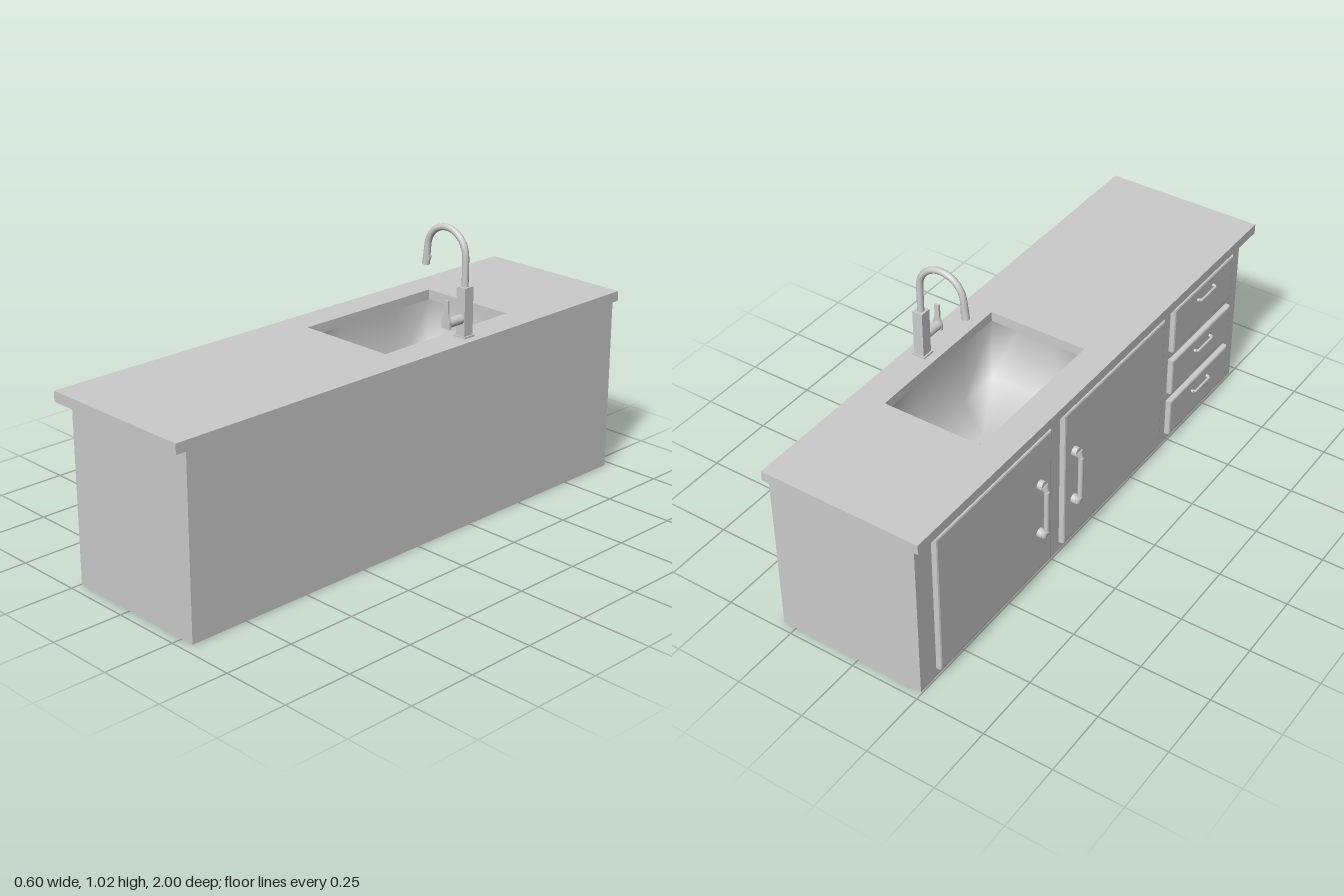
import * as THREE from 'three';

const mat = new THREE.MeshStandardMaterial({ color: 0xcccccc });
const thinMat = new THREE.MeshStandardMaterial({ color: 0xcccccc, side: THREE.DoubleSide });
const V = (x, y, z) => new THREE.Vector3(x, y, z);

function add(parent, name, geometry, material = mat) {
  const mesh = new THREE.Mesh(geometry, material);
  mesh.name = name;
  parent.add(mesh);
  return mesh;
}

function box(parent, name, x0, x1, y0, y1, z0, z1) {
  const mesh = add(parent, name, new THREE.BoxGeometry(x1 - x0, y1 - y0, z1 - z0));
  mesh.position.set((x0 + x1) / 2, (y0 + y1) / 2, (z0 + z1) / 2);
  return mesh;
}

// Cylinder (or cone) running from point a to point b
function rod(parent, name, a, b, ra, rb = ra, sides = 20) {
  const mesh = add(parent, name, new THREE.CylinderGeometry(rb, ra, a.distanceTo(b), sides));
  mesh.position.copy(a).add(b).multiplyScalar(0.5);
  mesh.quaternion.setFromUnitVectors(V(0, 1, 0), b.clone().sub(a).normalize());
  return mesh;
}

// Upright slab with a rectangular hole, seen in plan; outline and hole run anticlockwise
function ringSlab(parent, name, [x0, x1, z0, z1], [a0, a1, b0, b1], y0, y1) {
  const rect = (s, l, r, n, f) =>
    s.moveTo(l, -f).lineTo(r, -f).lineTo(r, -n).lineTo(l, -n).closePath();
  const shape = rect(new THREE.Shape(), x0, x1, z0, z1);
  shape.holes.push(rect(new THREE.Path(), a0, a1, b0, b1));
  const geometry = new THREE.ExtrudeGeometry(shape, { depth: y1 - y0, bevelEnabled: false });
  geometry.rotateX(-Math.PI / 2).translate(0, y0, 0);
  return add(parent, name, geometry, thinMat);
}

// Panel on the -x face with a narrow bevel round its outer face
function frontPanel(parent, name, y0, y1, z0, z1) {
  const b = 0.007;
  const shape = new THREE.Shape();
  shape.moveTo(z0 + b, y0 + b).lineTo(z1 - b, y0 + b).lineTo(z1 - b, y1 - b).lineTo(z0 + b, y1 - b).closePath();
  const geometry = new THREE.ExtrudeGeometry(shape, {
    depth: 0.012, bevelThickness: b, bevelSize: b, bevelSegments: 2,
  });
  geometry.rotateY(-Math.PI / 2).translate(-0.246, 0, 0);
  return add(parent, name, geometry);
}

// Open basin: smooth loft from rim to floor to drain
function basinGeometry(x0, x1, z0, z1, top, floor, drain) {
  const n = 16, cx = (x0 + x1) / 2, cz = (z0 + z1) / 2;
  const positions = [], index = [];
  for (let ring = 0; ring < 3; ring++) {
    for (let i = 0; i < n; i++) {
      const c = Math.cos(i * 2 * Math.PI / n), s = Math.sin(i * 2 * Math.PI / n);
      const m = Math.max(Math.abs(c), Math.abs(s));
      if (ring < 2) positions.push(cx + c / m * (x1 - x0) / 2, ring ? floor : top, cz + s / m * (z1 - z0) / 2);
      else positions.push(cx + c * drain, floor, cz + s * drain);
    }
  }
  for (let r = 0; r < 2; r++) {
    for (let i = 0; i < n; i++) {
      const a = r * n + i, b = r * n + (i + 1) % n;
      index.push(a, b, a + n, b, b + n, a + n);
    }
  }
  const geometry = new THREE.BufferGeometry();
  geometry.setAttribute('position', new THREE.Float32BufferAttribute(positions, 3));
  geometry.setIndex(index);
  geometry.computeVertexNormals();
  return geometry;
}

// Bow handle along local y, standing out towards -x: feet tapering into a straight grip
function handle(parent, name, half, depth, footR, gripR) {
  const g = new THREE.Group();
  g.name = name;
  parent.add(g);
  const gripX = -depth + gripR, gripY = half - footR * 1.1;
  rod(g, 'grip', V(gripX, -gripY, 0), V(gripX, gripY, 0), gripR);
  for (const side of [-1, 1]) {
    rod(g, 'handleFoot', V(0.004, side * half, 0), V(-depth * 0.5, side * half, 0), footR);
    rod(g, 'handleBend', V(-depth * 0.4, side * half, 0), V(gripX, side * gripY, 0), footR, gripR);
  }
  return g;
}

function makeFaucet() {
  const g = new THREE.Group();
  g.name = 'faucet';
  const x = 0.246, z = -0.261;
  box(g, 'faucetBase', x - 0.025, x + 0.025, 0.656, 0.663, z - 0.024, z + 0.024);
  box(g, 'faucetBody', x - 0.019, x + 0.019, 0.66, 0.828, z - 0.02, z + 0.02);

  // Gooseneck spout
  const points = [V(x, 0.82, z), V(x, 0.88, z)];
  for (let i = 0; i <= 12; i++) {
    const a = i / 12 * Math.PI;
    points.push(V(0.161 + 0.085 * Math.cos(a), 0.925 + 0.085 * Math.sin(a), z));
  }
  const neck = new THREE.CatmullRomCurve3(points);
  add(g, 'spoutNeck', new THREE.TubeGeometry(neck, 64, 0.0115, 16));
  rod(g, 'sprayHead', V(0.0765, 0.933, z), V(0.069, 0.866, z), 0.0115, 0.013);
  box(g, 'sprayButton', 0.078, 0.088, 0.882, 0.898, z - 0.005, z + 0.005);

  // Side valve with tapered upright lever
  rod(g, 'valve', V(x, 0.72, z + 0.018), V(x, 0.72, -0.178), 0.017);
  const lever = new THREE.Shape();
  lever.moveTo(-0.018, 0.703).lineTo(0.018, 0.703).lineTo(0.018, 0.728).lineTo(0.009, 0.755)
    .lineTo(0.009, 0.8).lineTo(-0.009, 0.8).lineTo(-0.009, 0.755).lineTo(-0.018, 0.728).closePath();
  const leverGeometry = new THREE.ExtrudeGeometry(lever, { depth: 0.008, bevelEnabled: false });
  add(g, 'lever', leverGeometry.translate(x, 0, -0.179));
  return g;
}

export function createModel() {
  const model = new THREE.Group();
  model.name = 'sinkCabinet';

  // Hollow carcass and worktop with sink cut-out
  const hole = [-0.175, 0.19, -0.535, 0.048];
  ringSlab(model, 'cabinet', [-0.245, 0.3, -0.971, 0.963], [-0.21, 0.265, -0.936, 0.928], 0, 0.622);
  ringSlab(model, 'worktop', [-0.283, 0.3, -1, 1], hole, 0.621, 0.657);

  // Sink basin and drain
  add(model, 'basin', basinGeometry(...hole, 0.622, 0.385, 0.028), thinMat);
  const drain = add(model, 'drain', new THREE.CylinderGeometry(0.03, 0.03, 0.01, 24));
  drain.position.set(0.0075, 0.384, -0.2435);

  // Two doors with handles beside the shared stile
  for (const [z0, z1, handleZ] of [[-0.89, -0.275, -0.345], [-0.2, 0.42, -0.145]]) {
    frontPanel(model, 'door', 0.037, 0.584, z0, z1);
    handle(model, 'doorHandle', 0.102, 0.036, 0.0175, 0.009).position.set(-0.265, 0.304, handleZ);
  }

  // Drawer stack
  for (const [y0, y1, handleY] of [[0.037, 0.185, 0.138], [0.22, 0.365, 0.32], [0.403, 0.584, 0.539]]) {
    frontPanel(model, 'drawer', y0, y1, 0.485, 0.89);
    const grip = handle(model, 'drawerHandle', 0.053, 0.0175, 0.006, 0.0045);
    grip.position.set(-0.265, handleY, 0.69);
    grip.rotation.x = Math.PI / 2;
  }

  model.add(makeFaucet());
  return model;
}
